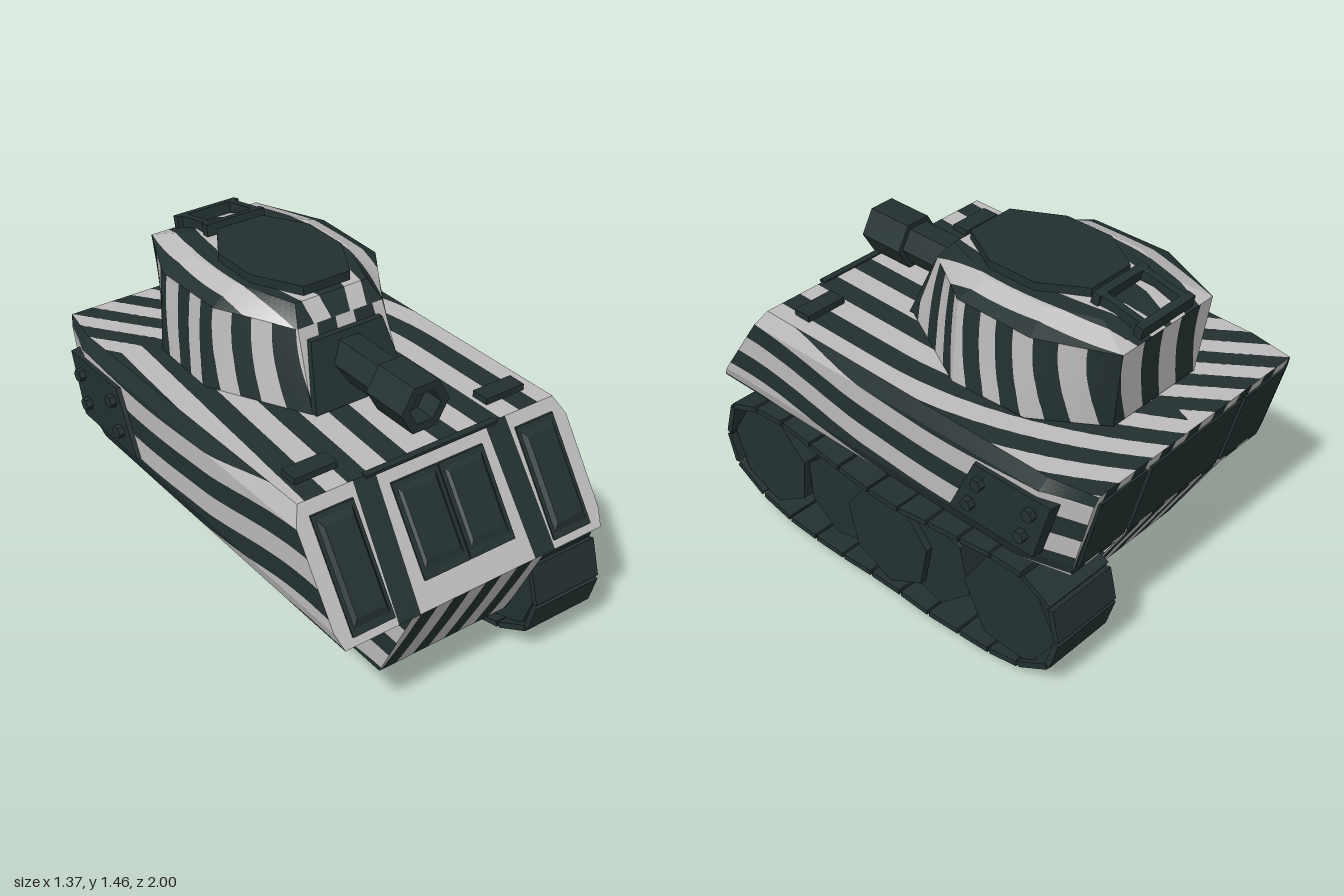
import * as THREE from 'three';

const light = new THREE.MeshStandardMaterial({ color: 0xbcbaba });
light.name = 'pale grey stripe';
const dark = new THREE.MeshStandardMaterial({ color: 0x233030 });
dark.name = 'dark green grey';

const TAU = Math.PI * 2;
const V = (x, y, z) => new THREE.Vector3(x, y, z);

// Keeps the part of a polygon where sign * value > 0
function clip(poly, vals, sign) {
  const out = [];
  poly.forEach((p, i) => {
    const j = (i + 1) % poly.length, a = vals[i] * sign, b = vals[j] * sign;
    if (a >= 0) out.push(p);
    if ((a > 0 && b < 0) || (a < 0 && b > 0)) out.push(p.clone().lerp(poly[j], a / (a - b)));
  });
  return out;
}

// Collects four-sided faces and cuts them into light and dark stripes
class StripedSkin {
  constructor(pickField) {
    this.pick = pickField;
    this.parts = [[], []];
  }
  quad(a, b, c, d) {
    const n = c.clone().sub(a).cross(d.clone().sub(b)).normalize();
    const mid = a.clone().add(b).add(c).add(d).multiplyScalar(0.25);
    const field = this.pick(n, mid);
    const cells = (p, q, r, s) => Math.max(1, Math.ceil(Math.max(p.distanceTo(q), r.distanceTo(s)) / 0.03));
    const nu = cells(a, b, d, c), nv = cells(a, d, b, c);
    const at = (i, j) => a.clone().lerp(b, i / nu).lerp(d.clone().lerp(c, i / nu), j / nv);
    for (let i = 0; i < nu; i++) for (let j = 0; j < nv; j++) {
      const p = [at(i, j), at(i + 1, j), at(i + 1, j + 1), at(i, j + 1)];
      for (const tri of [[p[0], p[1], p[2]], [p[0], p[2], p[3]]]) {
        const vals = tri.map((q) => field(q.x, q.y, q.z));
        [-1, 1].forEach((sign, k) => {
          const poly = clip(tri, vals, sign);
          for (let m = 1; m + 1 < poly.length; m++)
            for (const q of [poly[0], poly[m], poly[m + 1]]) this.parts[k].push(q.x, q.y, q.z);
        });
      }
    }
  }
  // Walls between stacked loops, closed above and below
  loft(loops) {
    const n = loops[0].length;
    for (let l = 0; l + 1 < loops.length; l++) for (let i = 0; i < n; i++) {
      const j = (i + 1) % n;
      this.quad(loops[l][i], loops[l][j], loops[l + 1][j], loops[l + 1][i]);
    }
    const top = loops[loops.length - 1], bot = loops[0];
    for (let k = 0; k < n / 2 - 1; k++) {
      const q = [n - 1 - k, k, k + 1, n - 2 - k];
      this.quad(...q.map((i) => top[i]));
      this.quad(...q.reverse().map((i) => bot[i]));
    }
  }
  mesh(name) {
    const [l, d] = this.parts, geo = new THREE.BufferGeometry();
    geo.setAttribute('position', new THREE.Float32BufferAttribute(l.concat(d), 3));
    geo.addGroup(0, l.length / 3, 0);
    geo.addGroup(l.length / 3, d.length / 3, 1);
    geo.computeVertexNormals();
    const m = new THREE.Mesh(geo, [light, dark]);
    m.name = name;
    return m;
  }
}

// Symmetric loop from its +x half, listed front to rear
const loop = (half) => [...half.map((p) => V(...p)), ...half.map(([x, y, z]) => V(-x, y, z)).reverse()];

// Solid between two quads, corners anticlockwise seen from the outer quad
function prism(base, outer) {
  const pos = [];
  const face = (a, b, c, d) => [a, b, c, a, c, d].forEach((p) => pos.push(...p));
  face(...outer);
  face(...[...base].reverse());
  for (let i = 0; i < 4; i++) face(base[i], base[(i + 1) % 4], outer[(i + 1) % 4], outer[i]);
  const geo = new THREE.BufferGeometry();
  geo.setAttribute('position', new THREE.Float32BufferAttribute(pos, 3));
  geo.computeVertexNormals();
  return geo;
}
const mirrorQuad = (q) => q.map(([x, y, z]) => [-x, y, z]).reverse();

// Stripe rules, dark where positive
const deckStripes = (x, y, z) => {
  const t = Math.max(0, (0.1 - z) / 1.1);
  const shift = x > 0 ? -0.35 * t * t : 0.8 * Math.min(0, z + 0.6) - 0.08 * z;
  return Math.cos(TAU * (x - shift - 0.1) / 0.19);
};
const sideStripes = (x, y, z) =>
  Math.cos(TAU * (y - 0.81 - 0.12 * THREE.MathUtils.smoothstep(z, 0.1, 0.85) - 0.015 * Math.sin(5 * z)) / 0.185);
const lowerStripes = (x, y) => Math.cos(TAU * (x + 0.24 + 0.25 * (0.58 - y) ** 2) / 0.155);
const frontStripes = (x, y) => 0.05 - Math.abs(Math.abs(x) - 0.32 + 0.04 * (y - 0.8));
const turretStripes = (x, y, z) => Math.cos(16 * Math.atan2(x, z + 0.3) + 1.5 * Math.sin(6 * y) + 1);
const roofStripes = (x, y, z) => Math.cos(TAU * (Math.abs(x) + 0.3 * (z + 0.3) ** 2 - 0.06) / 0.16);

const frontZ = (y) => 1 - (y - 0.58) * 0.69;
const rearZ = (y) => -0.89 - (y - 0.58) * 0.256;

export function createModel() {
  const model = new THREE.Group();
  const add = (name, geo, x = 0, y = 0, z = 0, parent = model) => {
    const flat = geo.index ? geo.toNonIndexed() : geo;
    flat.computeVertexNormals();
    const m = new THREE.Mesh(flat, dark);
    m.name = name;
    m.position.set(x, y, z);
    parent.add(m);
    return m;
  };
  const box = (name, w, h, d, x, y, z, parent) => add(name, new THREE.BoxGeometry(w, h, d), x, y, z, parent);

  // Hull: narrow lower tub and wide upper body
  const hullPick = (n, mid) => {
    if (Math.abs(n.y) > 0.85) return deckStripes;
    if (Math.abs(n.x) > 0.6) return sideStripes;
    return n.z > 0 && mid.y > 0.58 ? frontStripes : lowerStripes;
  };
  const tub = new StripedSkin(hullPick);
  tub.loft([loop([[0.32, 0.2, 0.82], [0.32, 0.2, -0.67]]), loop([[0.32, 0.58, 1], [0.32, 0.58, -0.89]])]);
  model.add(tub.mesh('lowerHull'));
  const level = (y, x, xr, yr = y) =>
    loop([[x, y, frontZ(y)], [x, yr, rearZ(yr) + 0.2], [xr, yr, rearZ(yr)]]);
  const hull = new StripedSkin(hullPick);
  hull.loft([level(0.58, 0.62, 0.57), level(0.64, 0.64, 0.58), level(0.96, 0.64, 0.58), level(1.03, 0.605, 0.57, 1.01)]);
  model.add(hull.mesh('upperHull'));

  // Bevelled panels on the sloping front
  const slopeQuad = (x0, x1, y0, y1, off) =>
    [[x0, y0], [x1, y0], [x1, y1], [x0, y1]].map(([x, y]) => [x, y, frontZ(y) + off]);
  const frontPanel = (name, x0, x1, y0, y1, h) => {
    add(name + 'Plate', prism(slopeQuad(x0, x1, y0, y1, -0.01), slopeQuad(x0, x1, y0, y1, 0.008)));
    const i = 0.03;
    add(name, prism(slopeQuad(x0 + 0.01, x1 - 0.01, y0 + 0.01, y1 - 0.01, 0), slopeQuad(x0 + i, x1 - i, y0 + 2 * i, y1 - i, h)));
  };
  for (const s of [-1, 1]) {
    frontPanel('frontCentrePanel', s * 0.11 - 0.108, s * 0.11 + 0.108, 0.67, 0.98, 0.02);
    frontPanel('frontSidePanel', s * 0.48 - 0.095, s * 0.48 + 0.095, 0.61, 0.985, 0.03);
    box('deckBlock', 0.19, 0.05, 0.08, s * 0.45, 1.03, 0.55);
  }
  box('deckFrontRail', 0.62, 0.012, 0.03, 0, 1.03, 0.69);

  // Rear plates
  const rearQuad = (x0, x1, off) =>
    [[x1, 0.62], [x0, 0.62], [x0, 0.965], [x1, 0.965]].map(([x, y]) => [x, y, rearZ(y) - off]);
  for (const [a, b] of [[-0.56, -0.285], [-0.275, 0.275], [0.285, 0.56]])
    add('rearPlate', prism(rearQuad(a, b, -0.01), rearQuad(a + 0.01, b - 0.01, 0.01)));

  // Slanted side hatches with bolts
  const hatch = (x, k) => [[x, 0.66, -0.35 - k], [x, 0.66, -0.79 + k], [x, 0.93, -0.87 + k], [x, 0.93, -0.48 - k]];
  for (const s of [-1, 1]) {
    const quads = [hatch(0.6, 0), hatch(0.658, 0.01)].map((q) => (s > 0 ? q : mirrorQuad(q)));
    add('sideHatch', prism(...quads));
    for (const [z, y] of [[-0.52, 0.86], [-0.77, 0.86], [-0.47, 0.74], [-0.73, 0.74]])
      add('hatchBolt', new THREE.CylinderGeometry(0.028, 0.028, 0.06, 6).rotateZ(Math.PI / 2), s * 0.655, y, z);
  }

  // Turret body
  const turret = new StripedSkin((n) => (n.y > 0.6 ? roofStripes : turretStripes));
  turret.loft([
    loop([[0.22, 1.02, 0.25], [0.435, 1.02, -0.17], [0.42, 1.02, -0.52], [0.24, 1.02, -0.79]]),
    loop([[0.2, 1.335, 0.13], [0.39, 1.36, -0.16], [0.395, 1.36, -0.52], [0.26, 1.36, -0.83]]),
    loop([[0.17, 1.41, 0.07], [0.27, 1.415, -0.2], [0.27, 1.415, -0.48], [0.19, 1.41, -0.68]]),
  ]);
  model.add(turret.mesh('turret'));

  // Roof hatch
  const lid = new THREE.Shape([[0.11, -0.04], [0.22, 0.16], [0.22, 0.38], [0.11, 0.56], [-0.11, 0.56], [-0.22, 0.38],
    [-0.22, 0.16], [-0.11, -0.04]].map((p) => new THREE.Vector2(...p)));
  add('roofHatch', new THREE.ExtrudeGeometry(lid, { depth: 0.045, bevelEnabled: false }).rotateX(-Math.PI / 2), 0, 1.405, 0);

  // Frame handle at the back of the roof
  const handle = new THREE.Group();
  handle.name = 'roofHandle';
  handle.position.set(0, 1.415, -0.705);
  handle.rotation.x = -0.2;
  box('handleBar', 0.3, 0.05, 0.035, 0, 0, -0.105, handle);
  box('handleBar', 0.28, 0.05, 0.035, 0, 0, 0.105, handle);
  for (const s of [-1, 1]) box('handleSide', 0.03, 0.05, 0.22, s * 0.115, 0, 0, handle);
  model.add(handle);

  // Gun shield and hexagonal barrel
  const shield = (o) => [[-0.22, 1.03, 0.25 + o], [0.22, 1.03, 0.25 + o], [0.17, 1.29, 0.147 + o], [-0.17, 1.29, 0.147 + o]];
  add('gunShield', prism(shield(-0.03), shield(0.025)));
  const tube = (name, r0, r1, len, z) =>
    add(name, new THREE.CylinderGeometry(r0, r1, len, 6, 1).rotateY(Math.PI / 6).rotateX(Math.PI / 2).rotateZ(Math.PI / 3), 0, 1.185, z);
  const hex = (r) => Array.from({ length: 6 }, (_, i) => new THREE.Vector2(r * Math.cos(i * TAU / 6), r * Math.sin(i * TAU / 6)));
  const ring = new THREE.Shape(hex(0.113));
  ring.holes.push(new THREE.Path(hex(0.072).reverse()));
  tube('barrel', 0.09, 0.09, 0.3, 0.3);
  add('muzzle', new THREE.ExtrudeGeometry(ring, { depth: 0.21, bevelEnabled: false }), 0, 1.185, 0.44);
  tube('muzzleFloor', 0.1, 0.1, 0.02, 0.55);

  // Track links follow a sagging closed path on the left side
  const path = [[0.92, 0.47], [0.76, 0.53], [0.6, 0.54], [0.43, 0.52], [0.26, 0.495], [0.09, 0.475], [-0.08, 0.475],
    [-0.24, 0.5], [-0.41, 0.52], [-0.57, 0.54], [-0.73, 0.54], [-0.87, 0.46], [-0.905, 0.31], [-0.86, 0.16], [-0.71, 0.07],
    [-0.56, 0.04], [-0.4, 0.03], [-0.23, 0.02], [-0.07, 0.028], [0.1, 0.028], [0.27, 0.02], [0.44, 0.02], [0.6, 0.03],
    [0.77, 0.07], [0.93, 0.16], [0.97, 0.3]];
  path.forEach(([z, y], i) => {
    const [z2, y2] = path[(i + 1) % path.length];
    const len = Math.hypot(z2 - z, y2 - y);
    const link = box('trackLink', 0.33, 0.025, len * 0.93, 0.495, Math.max(0.0135, (y + y2) / 2), (z + z2) / 2);
    link.rotation.x = -Math.atan2(y2 - y, z2 - z);
  });

  // Faceted road wheels
  for (const [z, y, r, sides, x1, turn] of [[0.715, 0.3, 0.23, 7, 0.64, 0.1], [0.31, 0.28, 0.21, 7, 0.61, 0.4],
    [0.01, 0.27, 0.23, 7, 0.64, 0.2], [-0.21, 0.27, 0.215, 6, 0.61, 0.3], [-0.65, 0.3, 0.235, 6, 0.64, 0.05]]) {
    const wheel = new THREE.CylinderGeometry(r, r, x1 - 0.36, sides).rotateY(turn).rotateZ(Math.PI / 2);
    add('roadWheel', wheel, (x1 + 0.36) / 2, y, z);
  }
  return model;
}
